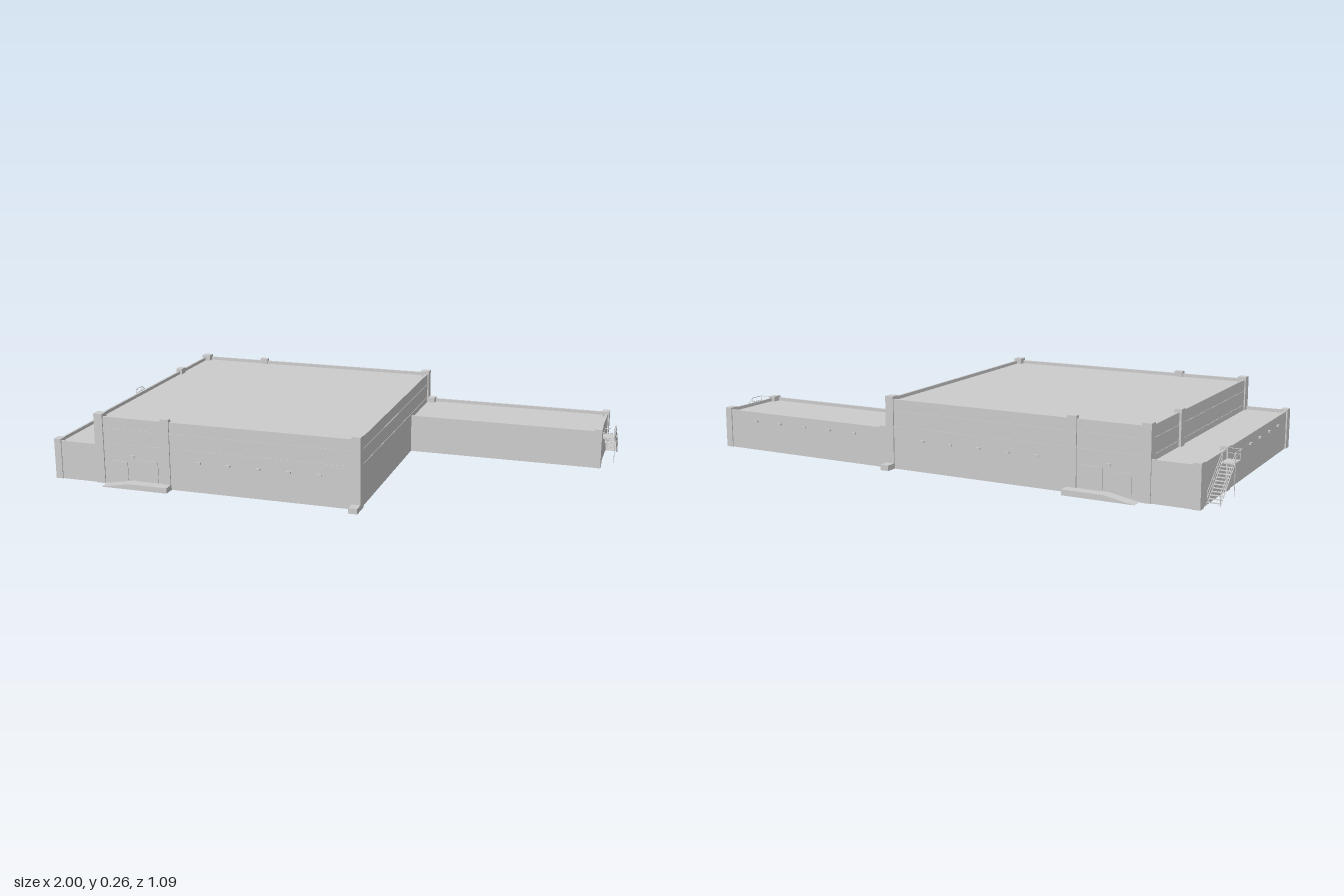
import * as THREE from 'three';

const material = new THREE.MeshStandardMaterial({ color: 0xcccccc, flatShading: true, side: THREE.DoubleSide });

export function createModel() {
  const model = new THREE.Group();

  const add = (name, geometry, parent = model) => {
    const mesh = new THREE.Mesh(geometry, material);
    mesh.name = name;
    parent.add(mesh);
    return mesh;
  };
  // Box given by its extents along each axis
  const block = (name, x0, x1, y0, y1, z0, z1, parent) => {
    const mesh = add(name, new THREE.BoxGeometry(x1 - x0, y1 - y0, z1 - z0), parent);
    mesh.position.set((x0 + x1) / 2, (y0 + y1) / 2, (z0 + z1) / 2);
    return mesh;
  };
  // Thin bar between two points
  const bar = (name, a, b, radius, parent) => {
    const from = new THREE.Vector3(...a), to = new THREE.Vector3(...b);
    const path = new THREE.LineCurve3(from, to);
    return add(name, new THREE.TubeGeometry(path, 1, radius, 5), parent);
  };

  const T = 0.008;            // wall thickness
  const W = -0.95, M = -0.782, E = 0.215, R = 0.95; // west edge, hall west, hall east, wing end
  const Z = 0.5, S = -0.21;   // half depth, wing front
  const HALL = 0.252, LOW = 0.145;

  // Roof decks, sunk behind the parapets
  block('hallRoof', M, E, 0.235, 0.24, -Z + T, Z - T);
  block('westRoof', W + T, M, 0.128, 0.133, -Z + T, Z - T);
  block('wingRoof', E, R - T, 0.128, 0.133, -Z + T, S - T);

  // Hall walls
  for (const s of [1, -1]) {
    const z0 = s > 0 ? Z - T : -Z, z1 = z0 + T;
    block('hallLongWall', M, E, 0, HALL, z0, z1);
    block('westEndWall', W, M, 0, LOW, z0, z1);
  }
  block('hallEastWall', E - T, E, 0, HALL, S, Z);
  block('hallEastUpperWall', E - T, E, 0.128, HALL, -Z, S);
  block('hallWestUpperWall', M, M + T, 0.128, HALL, -Z, Z);

  // Low west strip and east wing walls
  block('westWall', W, W + T, 0, LOW, -Z, Z);
  block('wingBackWall', E, R, 0, LOW, -Z, -Z + T);
  block('wingFrontWall', E, R, 0, LOW, S - T, S);
  block('wingEndWall', R - T, R, 0, LOW, -Z, S);

  // Horizontal bands on the tall walls
  for (const y of [0.151, 0.206]) {
    for (const s of [1, -1]) block('wallBand', M, E, y, y + 0.004, s * Z - 0.002, s * Z + 0.002);
    block('eastBand', E - 0.002, E + 0.002, y, y + 0.004, -Z, Z);
    block('westBand', M - 0.002, M + 0.002, y, y + 0.004, -Z, Z);
  }

  // Columns and entrance ramps, front and back alike
  for (const s of [1, -1]) {
    const col = (name, x0, x1, h, a, b) =>
      block(name, x0, x1, 0, h, Math.min(s * a, s * b), Math.max(s * a, s * b));
    col('hallCorner', -0.787, -0.753, 0.262, 0.47, 0.505);
    col('entranceColumn', -0.525, -0.492, 0.262, 0.485, 0.505);
    col('hallCorner', 0.188, 0.22, 0.262, 0.47, 0.505);
    col('columnFoot', 0.188, 0.22, 0.02, 0.5, 0.543);
    col('westCorner', -0.955, -0.928, 0.152, 0.468, 0.504);

    // Loading ramp rising from the west to a flat platform
    const profile = new THREE.Shape([[-0.75, 0], [-0.49, 0], [-0.49, 0.02], [-0.64, 0.02]]
      .map(p => new THREE.Vector2(...p)));
    const ramp = add('entranceRamp', new THREE.ExtrudeGeometry(profile, { depth: 0.045, bevelEnabled: false }));
    ramp.position.z = s > 0 ? 0.499 : -0.544;

    // Entrance doors
    const door = s * 0.501;
    block('entranceDoor', -0.72, -0.66, 0.02, 0.09, door - 0.002, door + 0.002);
    block('loadingDoor', -0.62, -0.54, 0.02, 0.1, door - 0.002, door + 0.002);
  }
  block('hallWestColumn', -0.79, -0.765, 0.128, 0.262, -0.243, -0.207);
  block('westMiddleColumn', -0.955, -0.928, 0, 0.152, -0.245, -0.208);
  block('wingInnerColumn', 0.22, 0.247, 0, 0.152, -0.504, -0.47);
  block('wingCorner', 0.928, 0.955, 0, 0.152, -0.504, -0.468);
  block('wingCorner', 0.928, 0.955, 0, 0.152, -0.245, -0.208);

  // Wall lamps
  const lamp = (x, z, w, d) => block('wallLamp', x - w, x + w, 0.108, 0.115, z - d, z + d);
  for (const x of [-0.64, -0.38, -0.268, -0.155, -0.042, 0.07]) {
    lamp(x, 0.502, 0.008, 0.005);
    lamp(x, -0.502, 0.008, 0.005);
  }
  for (let i = 0; i < 5; i++) {
    lamp(0.36 + i * 0.1125, -0.502, 0.008, 0.005);
    lamp(-0.952, -0.1 + i * 0.1125, 0.005, 0.008);
  }

  // Outside stairs with landing and railings, one at each end
  for (const s of [1, -1]) {
    const stairs = new THREE.Group();
    stairs.name = s > 0 ? 'eastStairs' : 'westStairs';
    model.add(stairs);
    const part = (name, x0, x1, ...rest) =>
      block(name, Math.min(s * x0, s * x1), Math.max(s * x0, s * x1), ...rest, stairs);
    const rod = (name, a, b, r = 0.0012) =>
      bar(name, [s * a[0], a[1], a[2]], [s * b[0], b[1], b[2]], r, stairs);

    part('landing', 0.95, 0.998, 0.108, 0.113, -0.3, -0.242);
    part('landingDoor', 0.949, 0.952, 0.113, 0.142, -0.29, -0.252);
    const steps = 11;
    for (let i = 0; i < steps; i++) {
      const t = (i + 1) / (steps + 1), z = -0.3 - 0.14 * t, y = 0.11 * (1 - t);
      part('step', 0.953, 0.996, y - 0.001, y + 0.001, z - 0.005, z + 0.005);
    }
    for (const x of [0.953, 0.997]) {
      rod('stringer', [x, 0.11, -0.3], [x, 0.002, -0.438], 0.0015);
      rod('handrail', [x, 0.15, -0.295], [x, 0.045, -0.436]);
      rod('midRail', [x, 0.132, -0.295], [x, 0.025, -0.436]);
      for (const z of [-0.338, -0.382, -0.436]) {
        const t = (-0.295 - z) / 0.141;
        rod('stairPost', [x, 0.11 - 0.108 * t, z], [x, 0.15 - 0.105 * t, z]);
      }
    }
    // Landing guard rails and legs
    for (const y of [0.133, 0.15]) {
      rod('landingRail', [0.997, y, -0.295], [0.997, y, -0.244]);
      rod('landingRail', [0.953, y, -0.244], [0.997, y, -0.244]);
    }
    for (const z of [-0.244, -0.295]) rod('landingPost', [0.997, 0.11, z], [0.997, 0.15, z]);
    rod('landingLeg', [0.997, 0, -0.295], [0.997, 0.11, -0.295]);
  }

  return model;
}
